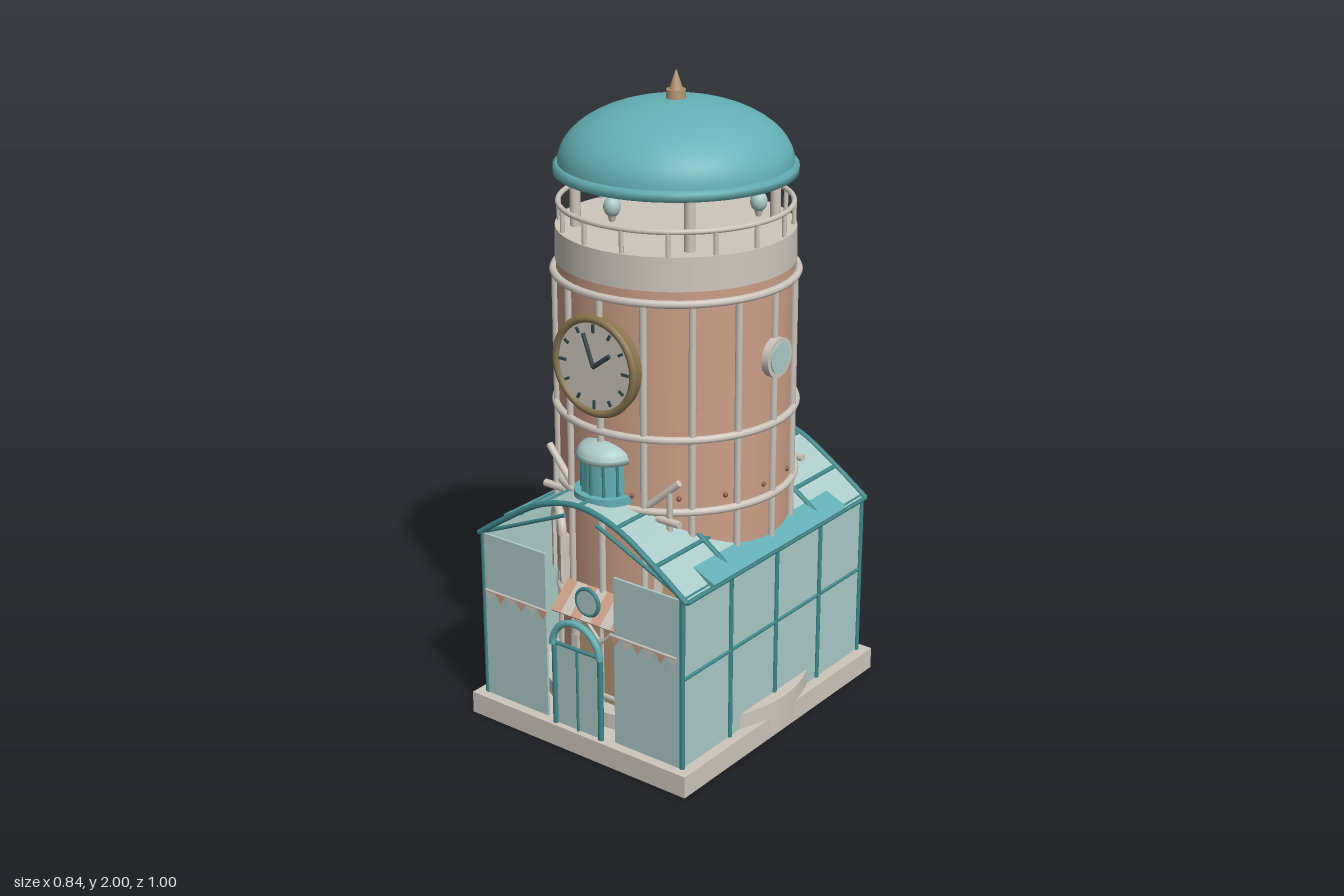
import * as THREE from 'three';

const mat = (name, color, side = THREE.FrontSide) => {
  const m = new THREE.MeshStandardMaterial({ color, side });
  m.name = name;
  return m;
};
const V = (x, y, z) => new THREE.Vector3(x, y, z);

export function createModel() {
  const teal = mat('copper teal', 0x64b0b5, THREE.DoubleSide);
  const frame = mat('dark teal frame', 0x3f898d);
  const glass = mat('pale glass', 0xabcac7, THREE.DoubleSide);
  const brick = mat('brick', 0xcb9e86, THREE.DoubleSide);
  const stone = mat('stone', 0xcdc6bc, THREE.DoubleSide);
  const bronze = mat('bronze', 0x8a7550);
  const tan = mat('tan', 0xb39472);
  const dark = mat('dark hands', 0x35474a);
  const rust = mat('rust', 0x8e5a44);

  const root = new THREE.Group();
  root.name = 'clockTower';
  const group = (name, parent = root) => {
    const g = new THREE.Group();
    g.name = name;
    parent.add(g);
    return g;
  };
  const add = (name, geo, m, x = 0, y = 0, z = 0, parent = root) => {
    const mesh = new THREE.Mesh(geo, m);
    mesh.name = name;
    mesh.position.set(x, y, z);
    parent.add(mesh);
    return mesh;
  };
  const box = (name, w, h, d, m, x, y, z, p) => add(name, new THREE.BoxGeometry(w, h, d), m, x, y, z, p);
  const cyl = (name, rt, rb, y0, y1, m, x = 0, z = 0, p = root, seg = 64) =>
    add(name, new THREE.CylinderGeometry(rt, rb, y1 - y0, seg), m, x, (y0 + y1) / 2, z, p);
  // Round bar between two points
  const bar = (name, a, b, r, m, p) => {
    const d = b.clone().sub(a);
    const mesh = add(name, new THREE.CylinderGeometry(r, r, d.length(), 8), m, 0, 0, 0, p);
    mesh.position.copy(a).addScaledVector(d, 0.5);
    mesh.quaternion.setFromUnitVectors(V(0, 1, 0), d.normalize());
    return mesh;
  };
  const hoop = (name, R, r, y, m, p) => {
    const t = add(name, new THREE.TorusGeometry(R, r, 8, 64), m, 0, y, 0, p);
    t.rotation.x = Math.PI / 2;
    return t;
  };
  const lathe = (name, pts, m, x, y, z, p) =>
    add(name, new THREE.LatheGeometry(pts.map(q => new THREE.Vector2(...q)), 64), m, x, y, z, p);
  const domePts = (r, h, n = 14) =>
    Array.from({ length: n + 1 }, (_, i) => [r * Math.cos(i / n * Math.PI / 2), h * Math.sin(i / n * Math.PI / 2)]);
  const facing = (name, angle, radius, y, p = root) => {
    const g = group(name, p);
    g.position.set(Math.sin(angle) * radius, y, Math.cos(angle) * radius);
    g.rotation.y = angle;
    return g;
  };
  const disc = (name, r, d, m, z, p) => {
    const c = add(name, new THREE.CylinderGeometry(r, r, d, 40), m, 0, 0, z, p);
    c.rotation.x = Math.PI / 2;
    return c;
  };

  // Base
  box('baseSlab', 0.83, 0.07, 1, stone, 0, 0.035, 0);
  cyl('roundPlinth', 0.42, 0.42, 0.01, 0.12, stone);

  // Tower shaft with ribs and hoops
  const tower = group('tower');
  cyl('shaft', 0.354, 0.354, 0.12, 1.45, brick, 0, 0, tower);
  for (let i = 0; i < 16; i++) {
    const a = i * Math.PI / 8, s = Math.sin(a), c = Math.cos(a);
    bar('rib', V(s * 0.358, 0.12, c * 0.358), V(s * 0.358, 1.42, c * 0.358), 0.011, stone, tower);
    const b = a + Math.PI / 11;
    add('rivet', new THREE.SphereGeometry(0.008, 8, 6), rust, Math.sin(b) * 0.355, 0.82, Math.cos(b) * 0.355, tower);
  }
  for (const y of [0.14, 0.4, 0.78, 1.005, 1.415]) hoop('hoop', 0.362, 0.012, y, stone, tower);

  // Parapet, balcony rail and lantern posts
  const belfry = group('belfry');
  cyl('parapet', 0.355, 0.357, 1.45, 1.55, stone, 0, 0, belfry);
  hoop('handrail', 0.345, 0.008, 1.62, stone, belfry);
  for (let i = 0; i < 16; i++) {
    const a = (i + 0.5) * Math.PI / 8;
    bar('railPost', V(Math.sin(a) * 0.345, 1.55, Math.cos(a) * 0.345), V(Math.sin(a) * 0.345, 1.62, Math.cos(a) * 0.345), 0.007, stone, belfry);
  }
  for (let i = 0; i < 4; i++) {
    const a = i * Math.PI / 2, b = a + Math.PI / 4;
    cyl('domeColumn', 0.016, 0.016, 1.55, 1.73, stone, Math.sin(b) * 0.295, Math.cos(b) * 0.295, belfry, 16);
    const x = Math.sin(a) * 0.295, z = Math.cos(a) * 0.295;
    add('lantern', new THREE.SphereGeometry(0.025, 16, 12), glass, x, 1.663, z, belfry).scale.y = 1.2;
    cyl('lanternStem', 0.008, 0.008, 1.685, 1.74, frame, x, z, belfry, 10);
    cyl('lanternFoot', 0.014, 0.008, 1.62, 1.64, stone, x, z, belfry, 10);
  }

  // Dome and finial
  lathe('dome', [[0.345, 0], ...domePts(0.345, 0.185)], teal, 0, 1.735, 0);
  lathe('domeRim', [[0.335, 0], [0.358, 0], [0.358, 0.022], [0.345, 0.03], [0.335, 0.022], [0.335, 0]], teal, 0, 1.708, 0);
  cyl('finialCollar', 0.028, 0.03, 1.91, 1.945, tan, 0, 0, root, 20);
  cyl('finialSpike', 0.002, 0.02, 1.945, 2, tan, 0, 0, root, 16);

  // Clock
  const clock = facing('clock', 0, 0.37, 1.21);
  add('clockRing', new THREE.TorusGeometry(0.142, 0.012, 10, 48), bronze, 0, 0, 0.012, clock);
  disc('clockBack', 0.145, 0.03, bronze, -0.008, clock);
  disc('clockFace', 0.135, 0.008, stone, 0.01, clock);
  for (let i = 0; i < 12; i++) {
    const a = i * Math.PI / 6;
    box('hourMark', 0.008, i % 3 ? 0.018 : 0.026, 0.006, dark, Math.sin(a) * 0.115, Math.cos(a) * 0.115, 0.016, clock).rotation.z = -a;
  }
  bar('minuteHand', V(0, 0, 0.019), V(-0.035, 0.095, 0.019), 0.006, dark, clock);
  bar('hourHand', V(0, 0, 0.019), V(0.06, 0.045, 0.019), 0.007, dark, clock);

  // Round windows on the sides and back, and above the entrance
  for (const a of [Math.PI / 2, Math.PI, -Math.PI / 2]) {
    const w = facing('roundWindow', a, 0.366, 1.21);
    disc('windowSurround', 0.06, 0.024, stone, 0, w);
    disc('windowPane', 0.047, 0.008, glass, 0.012, w);
  }
  const porthole = facing('entranceRoundel', 0, 0.43, 0.48);
  add('roundelRing', new THREE.TorusGeometry(0.042, 0.006, 8, 32), frame, 0, 0, 0, porthole);
  disc('roundelPane', 0.042, 0.008, glass, 0, porthole);

  // Arched windows and doorway on the shaft
  const archWindow = (name, angle, y, r, h) => {
    const g = facing(name, angle, 0.362, y);
    add('archSurround', new THREE.TorusGeometry(r, 0.014, 8, 24, Math.PI), stone, 0, 0, 0.006, g);
    add('archFill', new THREE.CircleGeometry(r, 24, 0, Math.PI), tan, 0, 0, 0.004, g);
    box('lowerFill', 2 * r, h, 0.008, tan, 0, -h / 2, 0, g);
    for (const s of [-1, 1]) box('jamb', 0.024, h, 0.03, stone, s * r, -h / 2, 0, g);
    for (let i = 1; i < 4; i++) {
      const a = i * Math.PI / 4;
      bar('fanSpoke', V(0, 0, 0.008), V(Math.cos(a) * r, Math.sin(a) * r, 0.008), 0.005, stone, g);
    }
  };
  archWindow('doorway', 0, 0.32, 0.1, 0.2);
  for (const s of [-1, 1]) archWindow('archedWindow', s * 0.68, 0.61, 0.062, 0.16);

  // Striped canopy over the doorway
  for (let i = 0; i < 7; i++)
    box('canopyStripe', 0.038, 0.008, 0.11, i % 2 ? stone : brick, (i - 3) * 0.038, 0.455, 0.4, root).rotation.x = 0.7;

  // Stone struts leaning on the shaft
  for (const s of [-1, 1]) {
    bar('frontStrut', V(s * 0.14, 0.79, 0.325), V(s * 0.245, 0.885, 0.305), 0.011, stone);
    bar('strutPost', V(s * 0.215, 0.7, 0.31), V(s * 0.215, 0.86, 0.31), 0.009, stone);
    bar('frontLedge', V(s * 0.175, 0.76, 0.315), V(s * 0.255, 0.76, 0.315), 0.012, stone);
    bar('backLedge', V(s * 0.175, 0.76, -0.315), V(s * 0.255, 0.76, -0.315), 0.012, stone);
  }

  // Glasshouse walls
  const house = group('glasshouse');
  for (const s of [-1, 1]) {
    box('sideGlass', 0.008, 0.545, 0.93, glass, s * 0.376, 0.342, 0, house);
    for (const z of [-0.465, -0.232, 0, 0.232, 0.465])
      bar('mullion', V(s * 0.38, 0.07, z), V(s * 0.38, 0.62, z), 0.008, frame, house);
    for (const y of [0.36, 0.615]) bar('sideRail', V(s * 0.38, y, -0.465), V(s * 0.38, y, 0.465), 0.006, frame, house);
    for (const e of [-1, 1]) box('endGlass', 0.25, 0.545, 0.008, glass, s * 0.256, 0.342, e * 0.465, house);
  }

  // Glasshouse roof: a thin vault with arched ribs and purlins
  const profile = [[-0.395, 0.61], [-0.28, 0.69], [-0.14, 0.772], [0, 0.803], [0.14, 0.772], [0.28, 0.69], [0.395, 0.61]];
  const curve = new THREE.CatmullRomCurve3(profile.map(([x, y]) => V(x, y, 0)));
  const line = curve.getPoints(36);
  const vault = new THREE.Shape([
    ...line.map(p => new THREE.Vector2(p.x, p.y)),
    ...line.slice().reverse().map(p => new THREE.Vector2(p.x, p.y - 0.008)),
  ]);
  add('roofGlass', new THREE.ExtrudeGeometry(vault, { depth: 0.92, bevelEnabled: false }), glass, 0, 0, -0.46, house);
  for (const z of [-0.465, -0.232, 0.232, 0.465])
    add('roofArch', new THREE.TubeGeometry(curve, 36, 0.009, 8), frame, 0, 0, z, house);
  for (const [x, y] of profile) bar('purlin', V(x, y, -0.465), V(x, y, 0.465), 0.007, frame, house);
  for (const s of [-1, 1]) {
    for (const e of [-1, 1])
      bar('rafter', V(s * 0.385, 0.612, e * 0.455), V(s * 0.06, 0.755, e * 0.455), 0.006, frame, house);
    box('eavePlate', 0.085, 0.014, 0.69, teal, s * 0.362, 0.635, 0, house).rotation.z = -s * 0.42;
  }

  // Roof cupolas
  for (const s of [-1, 1]) {
    const cup = group('cupola');
    cup.position.set(0, 0, s * 0.328);
    cyl('cupolaBase', 0.1, 0.1, 0.795, 0.818, teal, 0, 0, cup, 32);
    cyl('cupolaDrum', 0.078, 0.078, 0.81, 0.925, teal, 0, 0, cup, 32);
    for (let i = 0; i < 12; i++) {
      const a = i * Math.PI / 6, x = Math.sin(a) * 0.078, z = Math.cos(a) * 0.078;
      bar('cupolaBar', V(x, 0.815, z), V(x, 0.925, z), 0.005, frame, cup);
    }
    lathe('cupolaDome', [[0, 0], [0.092, 0], [0.092, 0.015], ...domePts(0.09, 0.045, 8).map(([r, h]) => [r, h + 0.015])], glass, 0, 0.918, 0, cup);
  }

  // Front porch: arch tube and two door leaves
  const porch = group('porch');
  for (const s of [-1, 1]) {
    bar('porchPost', V(s * 0.088, 0.07, 0.482), V(s * 0.088, 0.345, 0.482), 0.009, frame, porch);
    box('doorLeaf', 0.084, 0.27, 0.008, glass, s * 0.043, 0.207, 0.478, porch);
  }
  bar('doorRail', V(-0.088, 0.343, 0.482), V(0.088, 0.343, 0.482), 0.006, frame, porch);
  bar('doorSplit', V(0, 0.07, 0.482), V(0, 0.343, 0.482), 0.005, frame, porch);
  add('porchArch', new THREE.TorusGeometry(0.09, 0.011, 8, 32, Math.PI), teal, 0, 0.34, 0.488, porch);

  // Bunting
  const flag = new THREE.ShapeGeometry(new THREE.Shape([[-0.022, 0], [0, -0.035], [0.022, 0]].map(p => new THREE.Vector2(...p))));
  for (const s of [-1, 1]) {
    bar('buntingCord', V(s * 0.12, 0.43, 0.475), V(s * 0.365, 0.43, 0.475), 0.004, stone);
    for (let i = 0; i < 6; i++)
      add('pennant', flag, i % 2 ? stone : brick, s * (0.14 + i * 0.042), 0.43, 0.476);
  }
  return root;
}
